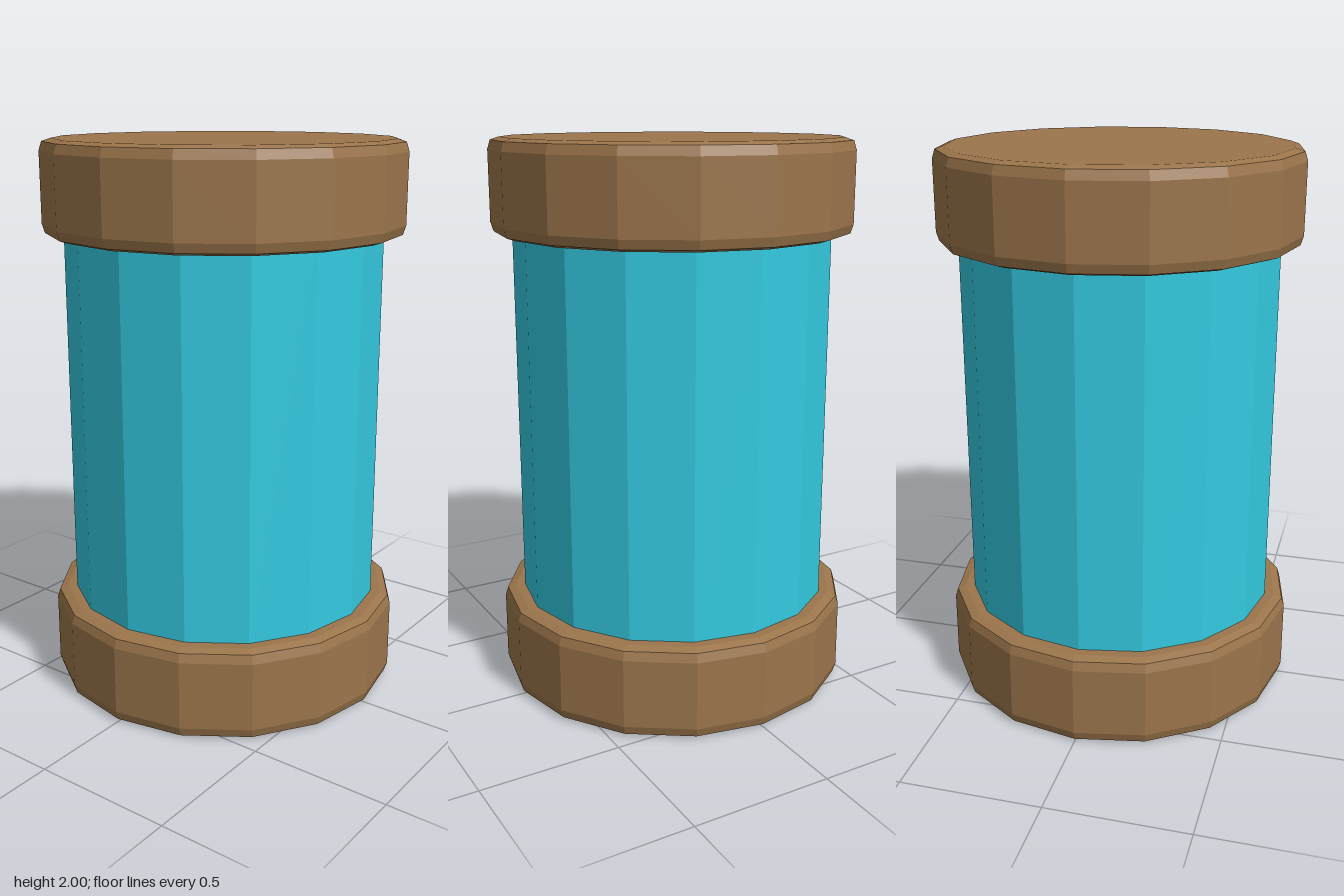
import * as THREE from 'three';

const SIDES = 16;

export function createModel() {
  const group = new THREE.Group();
  const brown = new THREE.MeshStandardMaterial({ color: 0x9b754b, flatShading: true });
  brown.name = 'brown cap';
  const teal = new THREE.MeshStandardMaterial({ color: 0x34cae1, flatShading: true });
  teal.name = 'turquoise body';

  // Faceted body, its ends tucked into the caps
  const body = new THREE.Mesh(new THREE.CylinderGeometry(0.57, 0.57, 1.4, SIDES), teal);
  body.name = 'body';
  body.position.y = 1;
  group.add(body);

  // Cap profile with a two-step rounded rim, from bottom centre to top centre
  const height = 0.333;
  const rim = [[0, 0], [0.605, 0], [0.635, 0.01], [0.645, 0.042]];
  const profile = [
    ...rim,
    ...rim.map(([r, y]) => [r, height - y]).reverse(),
  ].map(([r, y]) => new THREE.Vector2(r, y));
  const capGeometry = new THREE.LatheGeometry(profile, SIDES);

  // Matching caps at both ends
  for (const [name, y] of [['bottomCap', 0], ['topCap', 2 - height]]) {
    const cap = new THREE.Mesh(capGeometry, brown);
    cap.name = name;
    cap.position.y = y;
    group.add(cap);
  }
  return group;
}
